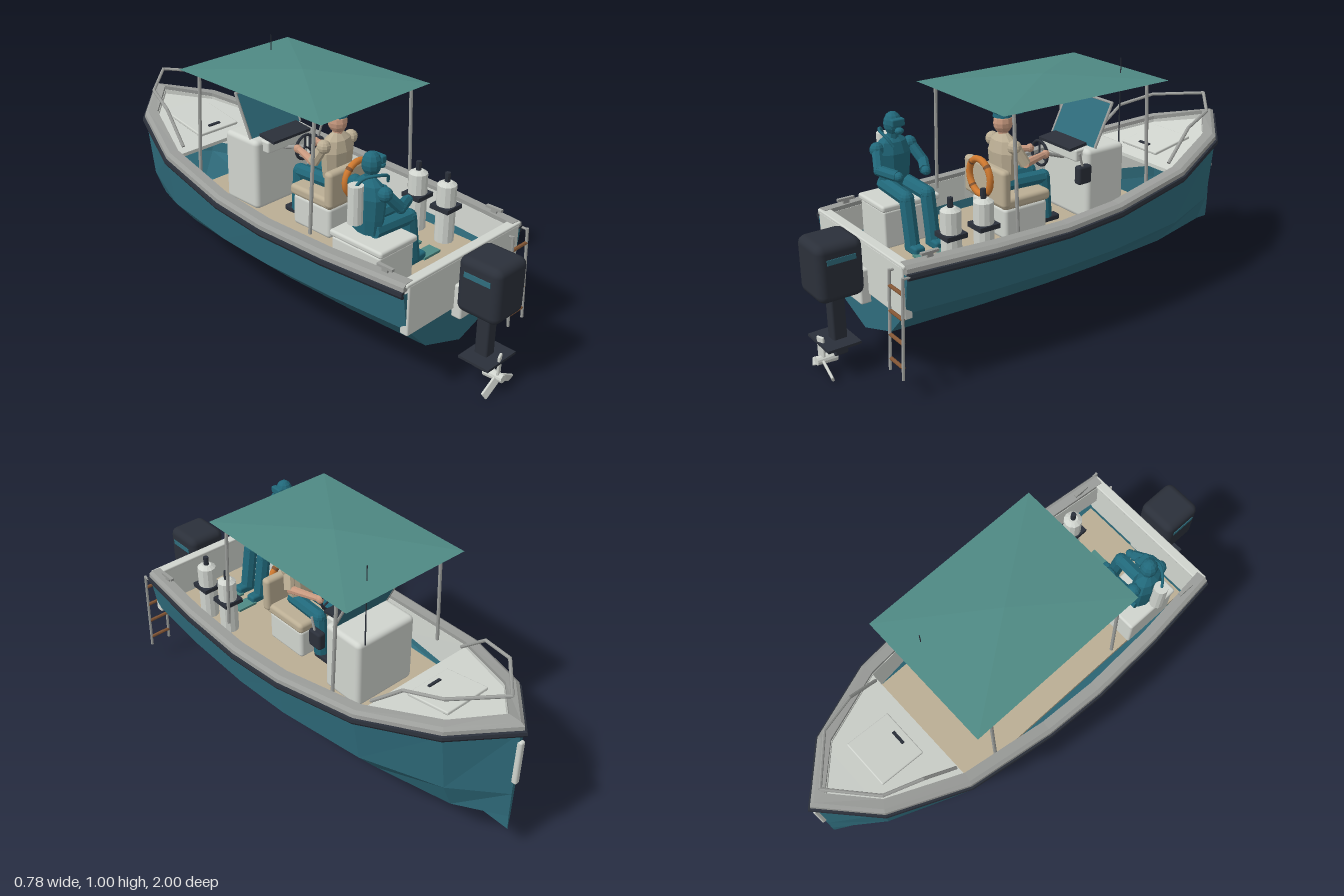
import * as THREE from 'three';
import { RoundedBoxGeometry } from 'three/addons/geometries/RoundedBoxGeometry.js';

const paint = (name, color, side = THREE.FrontSide) => {
  const m = new THREE.MeshStandardMaterial({ color, side });
  m.name = name;
  return m;
};
const V = (x, y, z) => new THREE.Vector3(x, y, z);

export function createModel() {
  const teal = paint('hullTeal', 0x2f6c7c, THREE.DoubleSide), suit = paint('suitTeal', 0x21687a);
  const cloth = paint('canopyGreen', 0x4f8a84, THREE.DoubleSide), white = paint('offWhite', 0xd0d4ce);
  const metal = paint('metalGrey', 0x9b9d9a), tan = paint('tan', 0xbbae94), skin = paint('skin', 0xc99a80);
  const dark = paint('charcoal', 0x2b303a), orange = paint('orange', 0xd07a30), wood = paint('wood', 0x825534);

  const root = new THREE.Group();
  root.name = 'boat';
  const group = (name) => {
    const g = new THREE.Group();
    g.name = name;
    root.add(g);
    return g;
  };
  const add = (parent, name, geo, mat, pos = [0, 0, 0], flat = false) => {
    if (flat) {
      geo = geo.index ? geo.toNonIndexed() : geo;
      geo.computeVertexNormals();
    }
    const m = new THREE.Mesh(geo, mat);
    m.name = name;
    m.position.set(...pos);
    parent.add(m);
    return m;
  };
  const box = (p, name, mat, size, pos, r = 0) =>
    add(p, name, r ? new RoundedBoxGeometry(...size, 2, r) : new THREE.BoxGeometry(...size), mat, pos);
  const ball = (p, name, mat, size, pos) => {
    const m = add(p, name, new THREE.SphereGeometry(1, 10, 8), mat, pos, true);
    m.scale.set(...size);
    return m;
  };
  // tapered rod between two points
  const rod = (p, name, mat, a, b, r0, r1 = r0, sides = 8) => {
    const A = V(...a), d = V(...b).sub(A);
    const m = add(p, name, new THREE.CylinderGeometry(r1, r0, d.length(), sides), mat, A.clone().addScaledVector(d, 0.5).toArray(), true);
    m.quaternion.setFromUnitVectors(V(0, 1, 0), d.normalize());
    return m;
  };
  const chain = (p, name, mat, pts, r, sides = 8) => {
    for (let i = 0; i + 1 < pts.length; i++) rod(p, name, mat, pts[i], pts[i + 1], r, r, sides);
    for (const q of pts.slice(1, -1)) ball(p, name + 'Joint', mat, [r, r, r], q);
  };
  // skin over counter-clockwise cross-sections, with end caps
  const loft = (sections, closed = true) => {
    const n = sections[0].length, idx = [], last = (sections.length - 1) * n;
    for (let j = 0; j + 1 < sections.length; j++)
      for (let i = 0; i < (closed ? n : n - 1); i++) {
        const a = j * n + i, b = j * n + (i + 1) % n, c = b + n, d = a + n;
        idx.push(a, d, c, a, c, b);
      }
    for (let i = 1; i + 1 < n; i++) idx.push(0, i, i + 1, last, last + i + 1, last + i);
    const g = new THREE.BufferGeometry();
    g.setAttribute('position', new THREE.Float32BufferAttribute(sections.flat(2), 3));
    g.setIndex(idx);
    return g;
  };

  // hull stations: z, half width, sheer height, chine ratio
  const stations = [[0.795, 0.33, 0.465, 0.93], [0.45, 0.365, 0.463, 0.93], [0.14, 0.377, 0.463, 0.93], [-0.12, 0.366, 0.475, 0.93],
    [-0.49, 0.32, 0.522, 0.9], [-0.8, 0.195, 0.578, 0.84], [-0.98, 0.008, 0.612, 0.8]];
  const hull = group('hull');
  add(hull, 'hullShell', loft(stations.map(([z, w, y, c]) => {
    const half = [[w, y], [w * c, 0.315], [w * 0.6, 0.2]];
    return [...half.map(([x, h]) => [-x, h, z]), [0, 0.13, z], ...half.reverse().map(([x, h]) => [x, h, z])];
  }), false), teal, [0, 0, 0], true);

  // sweeps that run round the sheer line with mitred corners
  const line = [...stations.slice(0, -1).map(([z, w, y]) => [w, y, z]), [0, 0.613, -0.985],
    ...stations.slice(0, -1).reverse().map(([z, w, y]) => [-w, y, z])];
  const normal = (p, q) => new THREE.Vector2(-(q[2] - p[2]), q[0] - p[0]).normalize();
  const sweep = (profile) => loft(line.map((p, k) => {
    const a = normal(line[Math.max(k - 1, 0)], line[Math.max(k, 1)]);
    const b = normal(line[Math.min(k, line.length - 2)], line[Math.min(k + 1, line.length - 1)]);
    const m = a.clone().add(b).normalize();
    m.divideScalar(m.dot(a));
    return profile(p).map(([o, y]) => [p[0] + m.x * o, y, p[2] + m.y * o]);
  }));
  add(hull, 'rubRail', sweep((p) => [[-0.005, p[1] - 0.017], [0.008, p[1] - 0.015], [0.014, p[1] - 0.004], [0.012, p[1] + 0.009], [-0.005, p[1] + 0.012]]), dark, [0, 0, 0], true);
  add(hull, 'gunwale', sweep((p) => [[-0.05, p[1] + 0.005], [0.004, p[1] + 0.008], [0.002, p[1] + 0.026], [-0.012, p[1] + 0.036], [-0.05, p[1] + 0.036]]), metal, [0, 0, 0], true);
  add(hull, 'innerLiner', sweep((p) => [[-0.058, 0.38], [-0.048, 0.38], [-0.042, p[1] + 0.02], [-0.052, p[1] + 0.02]]), white, [0, 0, 0], true);
  box(hull, 'floor', tan, [0.54, 0.02, 1.21], [0, 0.355, 0.125]);
  box(hull, 'transom', white, [0.62, 0.2, 0.035], [0, 0.392, 0.785], 0.006);
  box(hull, 'transomCap', white, [0.64, 0.014, 0.04], [0, 0.492, 0.782], 0.005);
  add(hull, 'foredeck', loft([[-0.48, 0.285, 0.535], [-0.8, 0.16, 0.592], [-0.945, 0.005, 0.62]].map(([z, w, y]) =>
    [[-w, y - 0.015, z], [w, y - 0.015, z], [w, y, z], [-w, y, z]])), white, [0, 0, 0], true);
  box(hull, 'hatch', white, [0.21, 0.014, 0.2], [0, 0.569, -0.64], 0.005).rotation.x = 0.177;
  box(hull, 'hatchHandle', dark, [0.06, 0.008, 0.012], [0, 0.566, -0.575]).rotation.x = 0.177;
  box(hull, 'stemPlate', white, [0.024, 0.2, 0.03], [0, 0.47, -0.978], 0.008);
  for (const s of [-1, 1]) {
    chain(hull, 'bowRail', metal, [[s * 0.235, 0.56, -0.49], [s * 0.21, 0.68, -0.62], [s * 0.165, 0.712, -0.77], [0, 0.73, -0.92]], 0.007);
    box(hull, 'cleat', metal, [0.014, 0.01, 0.07], [s * 0.305, 0.518, 0.69]);
    box(hull, 'cleatFoot', metal, [0.01, 0.02, 0.025], [s * 0.305, 0.505, 0.69]);
  }

  // canopy: shallow pyramid on four poles
  const canopy = group('canopy');
  const roof = add(canopy, 'canopyCloth', new THREE.ConeGeometry(Math.SQRT1_2, 0.03, 4, 1, true).rotateY(Math.PI / 4), cloth, [0, 0.945, -0.025], true);
  roof.scale.set(0.58, 1, 0.78);
  for (const s of [-1, 1]) for (const z of [0.3, -0.33])
    rod(canopy, 'canopyPole', metal, [s * 0.277, 0.48, z], [s * 0.258, 0.925, z], 0.007);
  rod(canopy, 'antenna', dark, [0.112, 0.65, -0.325], [0.112, 1, -0.325], 0.003, 0.002, 6);

  // steering console
  const con = group('console');
  box(con, 'consoleBody', white, [0.29, 0.3, 0.19], [0, 0.51, -0.232], 0.02);
  box(con, 'helmPanel', dark, [0.2, 0.012, 0.085], [0, 0.667, -0.125]).rotation.x = 0.12;
  box(con, 'helmShelf', white, [0.22, 0.05, 0.05], [0, 0.635, -0.13], 0.008);
  box(con, 'throttleBox', dark, [0.035, 0.075, 0.065], [0.155, 0.575, -0.105], 0.01);
  rod(con, 'throttleLever', metal, [0.16, 0.6, -0.1], [0.16, 0.665, -0.08], 0.005);
  rod(con, 'steeringColumn', metal, [0, 0.6, -0.13], [0, 0.64, -0.015], 0.008);
  add(con, 'steeringWheel', new THREE.TorusGeometry(0.05, 0.006, 6, 20), dark, [0, 0.64, -0.01]);
  for (let i = 0; i < 3; i++) {
    const a = Math.PI / 2 + i * Math.PI * 2 / 3;
    rod(con, 'wheelSpoke', dark, [0, 0.64, -0.01], [0.05 * Math.cos(a), 0.64 + 0.05 * Math.sin(a), -0.01], 0.004);
  }
  const screen = new THREE.Group();
  screen.name = 'windscreen';
  screen.position.set(0, 0.745, -0.222);
  screen.rotation.x = -0.464;
  con.add(screen);
  box(screen, 'glass', teal, [0.265, 0.19, 0.006], [0, 0, 0]);
  chain(screen, 'windscreenFrame', metal, [[-0.135, -0.095, 0], [-0.135, 0.095, 0], [0.135, 0.095, 0], [0.135, -0.095, 0]], 0.006);

  // helm seat with lifebuoy on its back
  const seat = group('helmSeat');
  box(seat, 'seatBase', white, [0.23, 0.13, 0.2], [0, 0.43, 0.14], 0.015);
  box(seat, 'seatCushion', tan, [0.25, 0.045, 0.22], [0, 0.515, 0.14], 0.016);
  box(seat, 'seatBack', tan, [0.27, 0.15, 0.04], [0, 0.58, 0.242], 0.016);
  add(seat, 'lifebuoy', new THREE.TorusGeometry(0.07, 0.0135, 8, 24), orange, [0, 0.605, 0.276]);
  for (let i = 0; i < 4; i++) {
    const a = Math.PI / 4 + i * Math.PI / 2;
    add(seat, 'lifebuoyBand', new THREE.TorusGeometry(0.07, 0.0145, 8, 3, 0.16).rotateZ(a - 0.08), wood, [0, 0.605, 0.276]);
  }

  // skipper, facing the bow
  const man = group('skipper');
  const torso = [[0, 0], [0.06, 0], [0.07, 0.06], [0.078, 0.14], [0.06, 0.185], [0.025, 0.21], [0, 0.212]].map((p) => new THREE.Vector2(...p));
  add(man, 'shirt', new THREE.LatheGeometry(torso, 10), tan, [0, 0.55, 0.165], true).scale.z = 0.65;
  rod(man, 'neck', skin, [0, 0.75, 0.165], [0, 0.78, 0.165], 0.02);
  ball(man, 'head', skin, [0.037, 0.045, 0.04], [0, 0.802, 0.165]);
  add(man, 'cap', new THREE.CylinderGeometry(0.034, 0.038, 0.024, 12), suit, [0, 0.837, 0.167], true);
  ball(man, 'capTop', suit, [0.042, 0.012, 0.044], [0, 0.847, 0.167]);
  box(man, 'capPeak', suit, [0.055, 0.007, 0.05], [0, 0.832, 0.115]);
  for (const s of [-1, 1]) {
    chain(man, 'sleeve', tan, [[s * 0.07, 0.725, 0.165], [s * 0.095, 0.65, 0.13]], 0.022);
    ball(man, 'shoulder', tan, [0.028, 0.028, 0.028], [s * 0.073, 0.718, 0.165]);
    rod(man, 'forearm', skin, [s * 0.095, 0.652, 0.132], [s * 0.05, 0.65, 0.01], 0.018, 0.013);
    ball(man, 'hand', skin, [0.015, 0.018, 0.018], [s * 0.05, 0.65, 0]);
    chain(man, 'trouserLeg', suit, [[s * 0.04, 0.565, 0.18], [s * 0.045, 0.56, 0.01], [s * 0.045, 0.39, 0]], 0.029);
    box(man, 'shoe', dark, [0.04, 0.025, 0.085], [s * 0.045, 0.378, -0.02], 0.008);
  }

  // diver on the side locker, facing left
  const locker = group('locker');
  box(locker, 'lockerBody', white, [0.18, 0.15, 0.23], [-0.188, 0.44, 0.525], 0.008);
  box(locker, 'lockerLid', white, [0.195, 0.026, 0.25], [-0.185, 0.528, 0.525], 0.01);
  const diver = group('diver'), dz = 0.525;
  add(diver, 'diverTorso', new THREE.LatheGeometry(torso, 10), suit, [-0.215, 0.56, dz], true).scale.set(0.62, 1, 0.95);
  rod(diver, 'diverNeck', suit, [-0.21, 0.75, dz], [-0.207, 0.8, dz], 0.022);
  ball(diver, 'diverHood', suit, [0.036, 0.045, 0.036], [-0.205, 0.815, dz]);
  box(diver, 'diveMask', suit, [0.025, 0.03, 0.055], [-0.17, 0.825, dz], 0.006);
  ball(diver, 'regulator', suit, [0.016, 0.013, 0.018], [-0.157, 0.795, dz]);
  rod(diver, 'airTank', white, [-0.282, 0.615, dz], [-0.282, 0.758, dz], 0.028, 0.028, 12);
  const hose = new THREE.CatmullRomCurve3([V(-0.285, 0.75, dz), V(-0.265, 0.782, dz + 0.02), V(-0.22, 0.79, dz + 0.05), V(-0.17, 0.77, dz + 0.045), V(-0.152, 0.74, dz + 0.03)]);
  add(diver, 'airHose', new THREE.TubeGeometry(hose, 16, 0.006, 6), suit);
  for (const s of [-1, 1]) {
    chain(diver, 'diverArm', suit, [[-0.21, 0.725, dz + s * 0.07], [-0.155, 0.66, dz + s * 0.095], [-0.085, 0.65, dz + s * 0.06]], 0.021);
    ball(diver, 'diverShoulder', suit, [0.028, 0.028, 0.028], [-0.21, 0.722, dz + s * 0.07]);
    ball(diver, 'diverHand', suit, [0.02, 0.018, 0.018], [-0.075, 0.65, dz + s * 0.058]);
    chain(diver, 'diverLeg', suit, [[-0.23, 0.578, dz + s * 0.04], [-0.048, 0.57, dz + s * 0.045], [-0.02, 0.39, dz + s * 0.045]], 0.029);
    box(diver, 'diverBoot', suit, [0.085, 0.035, 0.045], [-0.005, 0.385, dz + s * 0.045], 0.01);
    box(diver, 'fin', cloth, [0.09, 0.01, 0.055], [0.068, 0.374, dz + s * 0.045]);
  }

  // spare air tanks
  const spares = group('spareTanks');
  for (const z of [0.4, 0.54]) {
    rod(spares, 'tankBody', white, [0.205, 0.365, z], [0.205, 0.6, z], 0.038, 0.038, 12);
    rod(spares, 'tankShoulder', white, [0.205, 0.6, z], [0.205, 0.612, z], 0.038, 0.02, 12);
    rod(spares, 'tankValve', dark, [0.205, 0.61, z], [0.205, 0.648, z], 0.011);
    box(spares, 'tankStrap', dark, [0.086, 0.018, 0.086], [0.205, 0.508, z]);
  }

  // outboard motor
  const motor = group('outboard');
  box(motor, 'motorBracket', white, [0.12, 0.135, 0.06], [0, 0.325, 0.805], 0.008);
  box(motor, 'motorCowl', dark, [0.172, 0.22, 0.178], [0, 0.42, 0.911], 0.03);
  for (const s of [-1, 1]) box(motor, 'cowlStripe', teal, [0.006, 0.02, 0.11], [s * 0.086, 0.47, 0.911]);
  box(motor, 'motorLeg', dark, [0.05, 0.27, 0.055], [0, 0.2, 0.907], 0.008);
  box(motor, 'swivelArm', dark, [0.045, 0.05, 0.08], [0, 0.335, 0.85]);
  box(motor, 'cavitationPlate', dark, [0.165, 0.01, 0.13], [0, 0.127, 0.92]);
  rod(motor, 'propellerHub', white, [0, 0.06, 0.92], [0, 0.06, 0.998], 0.021, 0.016, 12);
  for (let i = 0; i < 3; i++) {
    const blade = box(motor, 'propellerBlade', white, [0.032, 0.08, 0.01], [0, 0, 0], 0.004);
    const a = i * Math.PI * 2 / 3;
    blade.position.set(Math.sin(a) * 0.053, 0.06 + Math.cos(a) * 0.053, 0.975);
    blade.rotation.set(0, 0.35, -a, 'ZYX');
  }

  // boarding ladder
  const ladder = group('ladder');
  for (const x of [0.25, 0.34]) {
    rod(ladder, 'ladderRail', metal, [x, 0.088, 0.835], [x, 0.47, 0.818], 0.006);
    rod(ladder, 'ladderHook', metal, [x, 0.465, 0.818], [x, 0.465, 0.79], 0.005);
  }
  for (const y of [0.133, 0.225, 0.316, 0.41])
    rod(ladder, 'ladderRung', wood, [0.25, y, 0.837 - y * 0.042], [0.34, y, 0.837 - y * 0.042], 0.007);
  return root;
}
